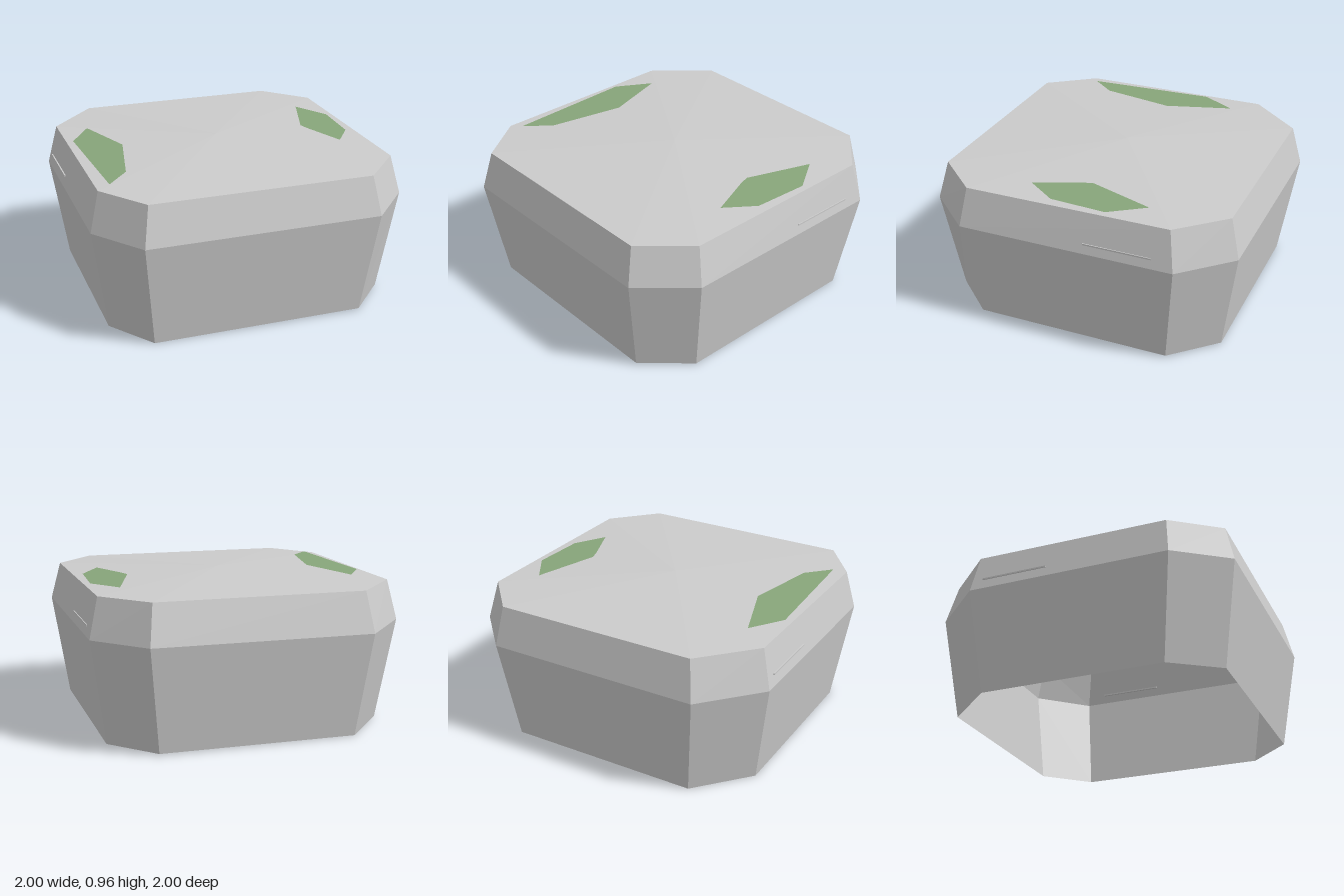
import * as THREE from 'three';

// Eight corners [x, z] of a ring, counter-clockwise seen from above
const midRing = [[-0.76, 1], [0.72, 1], [1, 0.69], [1, -0.70], [0.71, -1], [-0.68, -1], [-1, -0.64], [-1, 0.67]];
const topRing = [[-0.72, 0.94], [0.68, 0.94], [0.94, 0.655], [0.94, -0.66], [0.68, -0.94], [-0.64, -0.94], [-0.94, -0.61], [-0.94, 0.64]];
const bottomRing = [[-0.69, 0.9], [0.65, 0.9], [0.9, 0.63], [0.9, -0.63], [0.64, -0.9], [-0.61, -0.9], [-0.9, -0.57], [-0.9, 0.6]];

const lift = (ring, height) => ring.map(([x, z]) => new THREE.Vector3(x, height(x, z), z));

function meshFrom(name, triangles, color) {
  const geometry = new THREE.BufferGeometry().setFromPoints(triangles);
  geometry.computeVertexNormals();
  const material = new THREE.MeshStandardMaterial({ color, flatShading: true, side: THREE.DoubleSide });
  const mesh = new THREE.Mesh(geometry, material);
  mesh.name = name;
  return mesh;
}

// Band of walls joining two rings
function band(lower, upper) {
  return lower.flatMap((a, i) => {
    const j = (i + 1) % lower.length;
    return [a, lower[j], upper[j], a, upper[j], upper[i]];
  });
}

// Fan of triangles around a centre point
const fan = (centre, ring) => ring.flatMap((p, i) => [centre, p, ring[(i + 1) % ring.length]]);

export function createModel() {
  const group = new THREE.Group();
  group.name = 'chamferedBlock';
  const bottom = lift(bottomRing, (x) => 0.006 + 0.006 * x);
  const middle = lift(midRing, (x) => 0.67 + 0.006 * x);
  const top = lift(topRing, (x, z) => 0.92 + 0.004 * (x - z));

  // Open-bottomed shell with a slightly domed roof
  group.add(meshFrom('lowerWalls', band(bottom, middle), 0xcccccc));
  group.add(meshFrom('upperBevel', band(middle, top), 0xcccccc));
  group.add(meshFrom('roof', fan(new THREE.Vector3(0, 0.96, 0), top), 0xcccccc));

  // Green patches lying on the roof
  const patches = {
    rightPatch: [[-0.76, -0.46], [-0.9, -0.24], [-0.86, 0.6], [-0.72, 0.44], [-0.62, -0.04]],
    leftPatch: [[0.76, -0.46], [0.62, -0.04], [0.64, 0.03], [0.75, 0.31], [0.88, 0.12], [0.9, -0.24]],
  };
  for (const [name, outline] of Object.entries(patches)) {
    const ring = lift(outline, (x) => 0.964 - 0.04 * Math.abs(x));
    const centre = ring.reduce((sum, p) => sum.add(p), new THREE.Vector3()).divideScalar(ring.length);
    group.add(meshFrom(name, fan(centre, ring), 0x87a57a));
  }

  // Thin ledges through the side bevels
  for (const side of [-1, 1]) {
    const ledge = new THREE.Mesh(
      new THREE.BoxGeometry(0.014, 0.01, 0.43),
      new THREE.MeshStandardMaterial({ color: 0xcccccc, flatShading: true })
    );
    ledge.position.set(side * 0.983, 0.735, -0.345);
    ledge.name = side > 0 ? 'leftLedge' : 'rightLedge';
    group.add(ledge);
  }
  return group;
}
